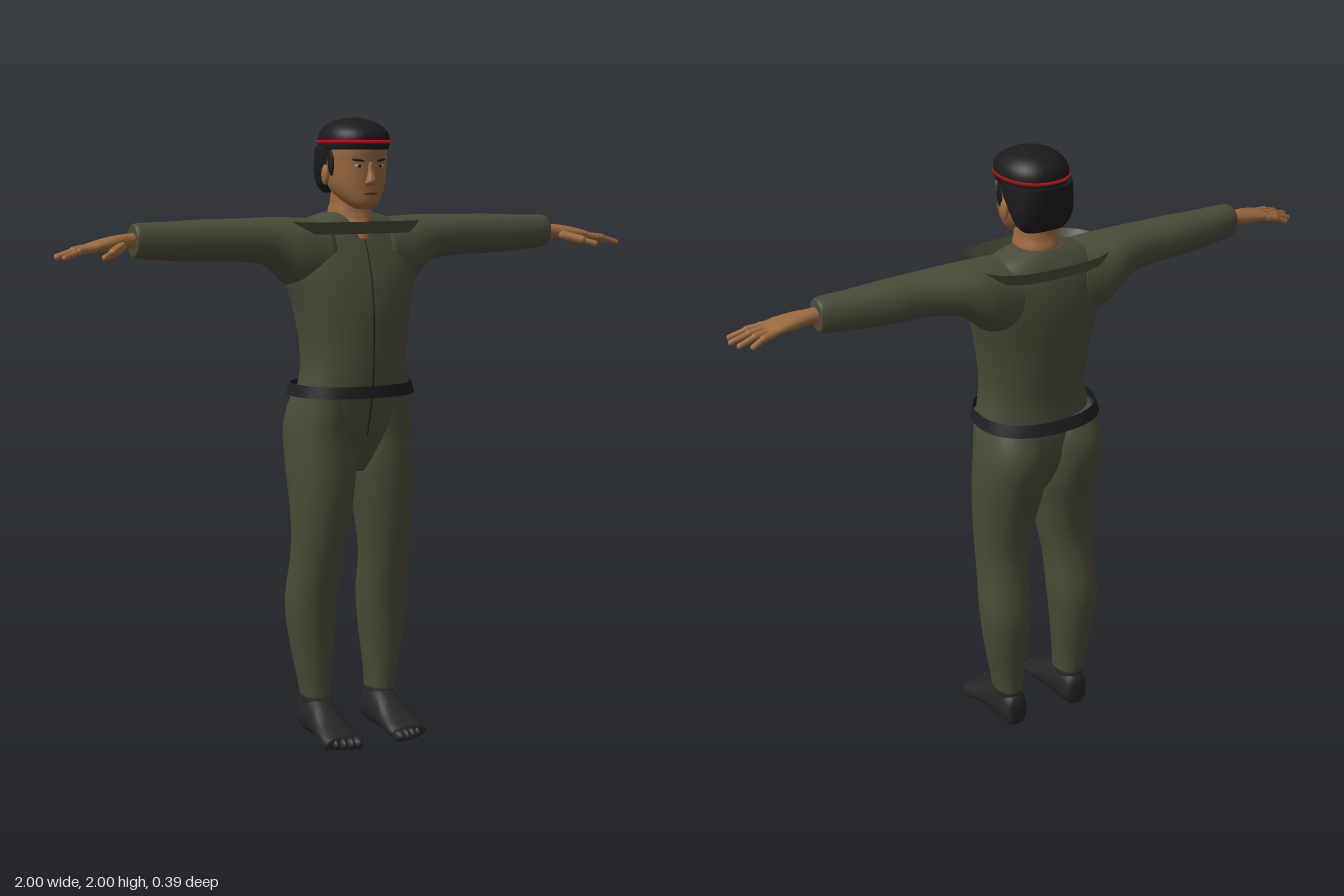
import * as THREE from 'three';

const mat = (name, color, side = THREE.FrontSide) => {
  const m = new THREE.MeshStandardMaterial({ color, side });
  m.name = name;
  return m;
};

// Maps (u, t, v) section coordinates to x, y, z for each loft axis
const AXES = {
  y: (t, u, v) => [u, t, v],
  x: (t, u, v) => [t, v, u],
  z: (t, u, v) => [v, u, t],
};

// Smooth interpolation between cross-section rows
function smoothRows(rows, steps) {
  const out = [];
  const at = i => rows[Math.min(Math.max(i, 0), rows.length - 1)];
  for (let i = 0; i < rows.length - 1; i++) {
    for (let s = 0; s < steps; s++) {
      const f = s / steps;
      out.push(at(i).map((b, k) => {
        const a = at(i - 1)[k], c = at(i + 1)[k], d = at(i + 2)[k];
        return b + 0.5 * f * (c - a + f * (2 * a - 5 * b + 4 * c - d + f * (3 * (b - c) + d - a)));
      }));
    }
  }
  out.push(rows[rows.length - 1]);
  return out;
}

// Skin over superellipse sections; a row is [t, u0, u1, v0, v1]
function loft(axis, rows, { seg = 32, steps = 4, power = 2.2, caps = true } = {}) {
  const rings = smoothRows(rows, steps), pos = [], idx = [];
  const curve = c => Math.sign(c) * Math.abs(c) ** (2 / power);
  for (const [t, u0, u1, v0, v1] of rings) {
    for (let j = 0; j < seg; j++) {
      const a = (j / seg) * Math.PI * 2;
      const u = (u0 + u1) / 2 + curve(Math.cos(a)) * (u1 - u0) / 2;
      const v = (v0 + v1) / 2 + curve(Math.sin(a)) * (v1 - v0) / 2;
      pos.push(...AXES[axis](t, u, v));
    }
  }
  for (let i = 0; i < rings.length - 1; i++) {
    for (let j = 0; j < seg; j++) {
      const a = i * seg + j, b = i * seg + (j + 1) % seg;
      idx.push(a, a + seg, b, b, a + seg, b + seg);
    }
  }
  if (caps) {
    const last = (rings.length - 1) * seg;
    for (const [r, base] of [[rings[0], 0], [rings[rings.length - 1], last]]) {
      const c = pos.length / 3;
      pos.push(...AXES[axis](r[0], (r[1] + r[2]) / 2, (r[3] + r[4]) / 2));
      for (let j = 0; j < seg; j++) {
        const a = base + j, b = base + (j + 1) % seg;
        if (base) idx.push(c, b, a); else idx.push(c, a, b);
      }
    }
  }
  const g = new THREE.BufferGeometry();
  g.setAttribute('position', new THREE.Float32BufferAttribute(pos, 3));
  g.setIndex(idx);
  g.computeVertexNormals();
  return g;
}

const blob = (x, y, z, rx, ry, rz) =>
  new THREE.SphereGeometry(1, 16, 12).scale(rx, ry, rz).translate(x, y, z);

// Rounded limb segment between two points
function capsule(a, b, r) {
  const p = new THREE.Vector3(...a), d = new THREE.Vector3(...b).sub(p);
  const q = new THREE.Quaternion().setFromUnitVectors(new THREE.Vector3(0, 1, 0), d.clone().normalize());
  return new THREE.CapsuleGeometry(r, d.length(), 5, 10).applyQuaternion(q)
    .translate(...p.addScaledVector(d, 0.5).toArray());
}

function flipX(geo) {
  const g = geo.clone().scale(-1, 1, 1), i = g.index.array;
  for (let k = 0; k < i.length; k += 3) [i[k], i[k + 1]] = [i[k + 1], i[k]];
  g.computeVertexNormals();
  return g;
}

export function createModel() {
  const root = new THREE.Group();
  root.name = 'figure';
  const olive = mat('olive cloth', 0x4b4b39, THREE.DoubleSide);
  const skin = mat('skin', 0x9a683f);
  const hair = mat('hair black', 0x1b1b1d);
  const boot = mat('shoe black', 0x262628);
  const belt = mat('belt black', 0x1e1e22, THREE.DoubleSide);
  const red = mat('red', 0xb01515);
  const lip = mat('lip brown', 0x6f4029);
  const white = mat('eye white', 0xb8aa9a);

  const add = (name, geo, m) => {
    const mesh = new THREE.Mesh(geo, m);
    mesh.name = name;
    root.add(mesh);
  };
  const pair = (name, geo, m) => {
    add('left ' + name, geo, m);
    add('right ' + name, flipX(geo), m);
  };

  // Jacket and pelvis: [y, half width, back z, front z]
  const sym = rows => rows.map(([y, w, z0, z1]) => [y, -w, w, z0, z1]);
  const torso = sym([
    [0.88, 0.06, -0.08, 0.05], [0.93, 0.13, -0.11, 0.075], [1.0, 0.185, -0.135, 0.095],
    [1.08, 0.192, -0.14, 0.115], [1.15, 0.186, -0.135, 0.13], [1.22, 0.175, -0.135, 0.136],
    [1.3, 0.177, -0.145, 0.138], [1.4, 0.194, -0.155, 0.137], [1.5, 0.222, -0.162, 0.122],
    [1.58, 0.235, -0.157, 0.095], [1.64, 0.21, -0.143, 0.068], [1.68, 0.155, -0.122, 0.045],
    [1.705, 0.075, -0.1, 0.025],
  ]);
  add('jacket', loft('y', torso, { seg: 48 }), olive);
  add('zipper', loft('y', torso.slice(2, 11).map(r => [r[0], -0.003, 0.003, r[4] - 0.006, r[4] + 0.003]),
    { seg: 8 }), belt);

  // Sleeves
  pair('sleeve', loft('x', [
    [0.1, -0.145, 0.085, 1.44, 1.685], [0.2, -0.152, 0.078, 1.47, 1.69], [0.25, -0.146, 0.065, 1.512, 1.692],
    [0.3, -0.13, 0.054, 1.545, 1.692], [0.4, -0.106, 0.046, 1.558, 1.69], [0.5, -0.1, 0.04, 1.56, 1.69],
    [0.62, -0.085, 0.034, 1.566, 1.685], [0.72, -0.068, 0.026, 1.575, 1.683], [0.74, -0.062, 0.02, 1.583, 1.676],
  ]), olive);

  // Trouser legs
  pair('trouser leg', loft('y', [
    [0.13, 0.073, 0.165, -0.1, 0.02], [0.2, 0.07, 0.177, -0.107, 0.022], [0.32, 0.058, 0.2, -0.124, 0.028],
    [0.45, 0.048, 0.213, -0.135, 0.042], [0.58, 0.046, 0.206, -0.113, 0.068], [0.68, 0.03, 0.206, -0.105, 0.085],
    [0.8, 0.01, 0.21, -0.125, 0.098], [0.9, -0.004, 0.213, -0.153, 0.1], [1.0, 0.002, 0.211, -0.176, 0.098],
    [1.07, 0.003, 0.202, -0.168, 0.105], [1.14, 0.01, 0.188, -0.13, 0.11],
  ]), olive);

  // Loose collar and belt bands
  add('collar', loft('y', sym([[1.64, 0.205, -0.175, 0.1], [1.678, 0.232, -0.186, 0.116]]),
    { seg: 48, steps: 2, power: 2.8, caps: false }), olive);
  add('belt', loft('y', sym([[1.127, 0.208, -0.19, 0.149], [1.165, 0.197, -0.175, 0.144]]),
    { seg: 48, steps: 2, power: 2.3, caps: false }), belt);

  // Shoes with toe bumps
  pair('shoe', loft('z', [
    [-0.112, 0.03, 0.08, 0.1, 0.14], [-0.1, 0.008, 0.12, 0.08, 0.158], [-0.04, 0.002, 0.145, 0.07, 0.165],
    [0.02, 0.004, 0.125, 0.066, 0.17], [0.08, 0.003, 0.085, 0.06, 0.18], [0.13, 0.002, 0.06, 0.057, 0.186],
    [0.165, 0.005, 0.045, 0.066, 0.18],
  ], { seg: 24 }), boot);
  pair('ankle', loft('y', [[0.06, 0.078, 0.16, -0.1, 0.02], [0.17, 0.078, 0.16, -0.095, 0.012]], { steps: 1 }), boot);
  for (let i = 0; i < 5; i++) {
    pair('toe', blob(0.077 + i * 0.024, 0.022, 0.168 - i * i * 0.0022, i ? 0.013 : 0.018, 0.02, 0.03), boot);
  }

  // Hands: palm, four fingers, thumb
  pair('palm', loft('x', [
    [0.7, -0.045, 0.005, 1.605, 1.655], [0.76, -0.043, 0.01, 1.607, 1.652], [0.81, -0.046, 0.03, 1.602, 1.646],
    [0.86, -0.048, 0.042, 1.6, 1.635], [0.895, -0.044, 0.04, 1.598, 1.624],
  ], { seg: 20 }), skin);
  const fingers = [[-0.038, -0.045, 0.95], [-0.014, -0.018, 0.98], [0.01, 0.018, 0.991], [0.032, 0.054, 0.98]];
  for (const [z0, z1, tip] of fingers) {
    const mid = [(0.88 + tip) / 2, 1.606, (z0 + z1) / 2];
    pair('finger base', capsule([0.88, 1.612, z0], mid, 0.0115), skin);
    pair('fingertip', capsule(mid, [tip, 1.589, z1], 0.009), skin);
  }
  pair('thumb base', capsule([0.79, 1.615, 0.018], [0.835, 1.6, 0.065], 0.015), skin);
  pair('thumb tip', capsule([0.835, 1.6, 0.065], [0.87, 1.588, 0.09], 0.01), skin);

  // Neck and head
  add('neck', loft('y', sym([
    [1.62, 0.035, -0.05, 0.082], [1.66, 0.05, -0.08, 0.068], [1.7, 0.068, -0.098, 0.05],
    [1.74, 0.062, -0.085, 0.045], [1.8, 0.062, -0.08, 0.045],
  ])), skin);
  add('head', loft('y', sym([
    [1.716, 0.025, 0.045, 0.098], [1.735, 0.05, 0.0, 0.114], [1.77, 0.076, -0.06, 0.117],
    [1.81, 0.09, -0.09, 0.117], [1.86, 0.096, -0.105, 0.117], [1.91, 0.097, -0.11, 0.119],
    [1.96, 0.08, -0.09, 0.1], [1.985, 0.04, -0.05, 0.05],
  ])), skin);
  pair('ear', blob(0.097, 1.822, -0.004, 0.011, 0.032, 0.018), skin);
  add('nose', loft('y', sym([
    [1.788, 0.012, 0.1, 0.124], [1.796, 0.02, 0.1, 0.132], [1.806, 0.017, 0.1, 0.137],
    [1.83, 0.011, 0.1, 0.128], [1.862, 0.009, 0.1, 0.119],
  ]), { seg: 16 }), skin);
  add('mouth', blob(0, 1.766, 0.115, 0.026, 0.006, 0.006), lip);
  pair('eye', blob(0.037, 1.85, 0.1065, 0.015, 0.006, 0.005), white);
  pair('iris', blob(0.037, 1.85, 0.109, 0.006, 0.0055, 0.0045), hair);
  pair('eyebrow', blob(0, 0, 0, 0.021, 0.004, 0.006).rotateZ(0.12).rotateY(0.3).translate(0.04, 1.868, 0.108), hair);

  // Hair: crown, back and sideburns
  add('hair crown', loft('y', sym([
    [1.9, 0.102, -0.121, 0.123], [1.93, 0.106, -0.124, 0.13], [1.96, 0.097, -0.113, 0.117],
    [1.985, 0.068, -0.08, 0.075], [1.997, 0.028, -0.035, 0.03], [2.0, 0.004, -0.005, 0.005],
  ])), hair);
  add('hair back', loft('y', sym([
    [1.765, 0.07, -0.098, -0.03], [1.79, 0.09, -0.112, -0.015], [1.83, 0.102, -0.12, 0.01],
    [1.87, 0.105, -0.123, 0.05], [1.91, 0.104, -0.123, 0.075],
  ]), { power: 2.6 }), hair);
  pair('sideburn', blob(0.092, 1.865, 0.028, 0.01, 0.046, 0.017), hair);

  // Thin headband
  add('headband', loft('y', sym([[1.919, 0.108, -0.126, 0.131], [1.929, 0.1085, -0.1265, 0.1325]]),
    { seg: 48, steps: 1 }), red);
  return root;
}
